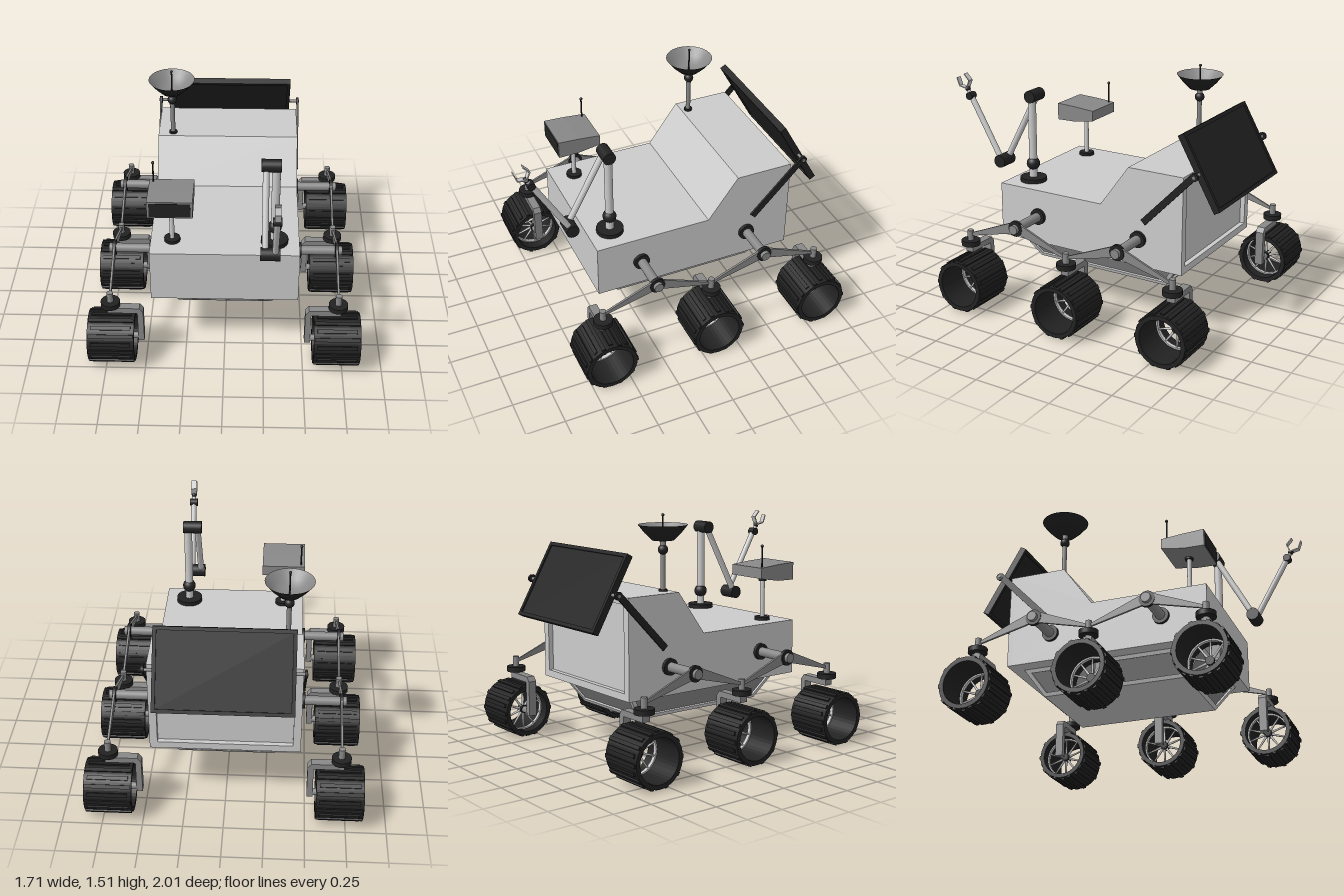
import * as THREE from 'three';

const mat = (color) => new THREE.MeshStandardMaterial({ color });
const LIGHT = mat(0xcccccc), GREY = mat(0x888888), DARK = mat(0x222222);
const V = (x, y, z) => new THREE.Vector3(x, y, z);

function add(parent, name, geometry, material, x = 0, y = 0, z = 0) {
  const mesh = new THREE.Mesh(geometry, material);
  mesh.name = name;
  mesh.position.set(x, y, z);
  parent.add(mesh);
  return mesh;
}

function group(parent, name) {
  const g = new THREE.Group();
  g.name = name;
  parent.add(g);
  return g;
}

// round bar between two points
function rod(parent, name, a, b, r, material, r2 = r) {
  const m = add(parent, name, new THREE.CylinderGeometry(r2, r, a.distanceTo(b), 24), material);
  m.position.copy(a).lerp(b, 0.5);
  m.quaternion.setFromUnitVectors(V(0, 1, 0), b.clone().sub(a).normalize());
  return m;
}

function ball(parent, name, p, r, material) {
  return add(parent, name, new THREE.SphereGeometry(r, 20, 14), material, p.x, p.y, p.z);
}

const polygon = (pts) => new THREE.Shape(pts.map(([x, y]) => new THREE.Vector2(x, y)));
const rect = (w, h) => polygon([[-w / 2, -h / 2], [w / 2, -h / 2], [w / 2, h / 2], [-w / 2, h / 2]]);
const extrude = (shape, depth) =>
  new THREE.ExtrudeGeometry(shape, { depth, bevelEnabled: false }).translate(0, 0, -depth / 2);
// side profile given as (z, y), extruded across x
const sideExtrude = (pts, width) => extrude(polygon(pts), width).rotateY(-Math.PI / 2);

function quads(list) {
  const g = new THREE.BufferGeometry().setFromPoints(
    list.flatMap(([a, b, c, d]) => [a, b, c, a, c, d]));
  g.computeVertexNormals();
  return g;
}

// four-cornered face (counter-clockwise from outside) with a sunken inner panel
function framedFace(parent, name, corners, margin, depth, panelMat) {
  const n = corners[1].clone().sub(corners[0]).cross(corners[3].clone().sub(corners[0])).normalize();
  const inner = corners.map((p, i) => {
    const u = corners[(i + 1) % 4].clone().sub(p).normalize();
    const v = corners[(i + 3) % 4].clone().sub(p).normalize();
    return p.clone().addScaledVector(u.add(v), margin);
  });
  const sunk = inner.map((p) => p.clone().addScaledVector(n, -depth));
  const faces = [];
  for (let i = 0; i < 4; i++) {
    const j = (i + 1) % 4;
    faces.push([corners[i], corners[j], inner[j], inner[i]], [inner[i], inner[j], sunk[j], sunk[i]]);
  }
  add(parent, name + 'Frame', quads(faces), LIGHT);
  add(parent, name + 'Panel', quads([sunk]), panelMat);
}

function buildBody(root) {
  const g = group(root, 'body');
  add(g, 'hull', sideExtrude([[0.56, 0.42], [0.56, 0.77], [-0.19, 0.77], [-0.385, 1.04],
    [-0.725, 1.04], [-0.725, 0.42]], 0.926), LIGHT);
  // raised frame around the rear wall
  const frame = rect(0.926, 0.62);
  frame.holes.push(rect(0.83, 0.53));
  add(g, 'rearFrame', extrude(frame, 0.032), LIGHT, 0, 0.73, -0.74);
  // tapered belly
  const t = [V(-0.37, 0.42, 0.49), V(0.37, 0.42, 0.49), V(0.37, 0.42, -0.68), V(-0.37, 0.42, -0.68)];
  const b = [V(-0.3, 0.25, 0.37), V(0.3, 0.25, 0.37), V(0.3, 0.25, -0.565), V(-0.3, 0.25, -0.565)];
  ['front', 'left', 'rear', 'right'].forEach((side, i) => {
    const j = (i + 1) % 4;
    framedFace(g, side + 'Belly', [b[i], b[j], t[j], t[i]], 0.03, 0.012, GREY);
  });
  add(g, 'bellyFloor', quads([[b[3], b[2], b[1], b[0]]]), LIGHT);
}

function buildWheel(parent, x, z, s) {
  const g = group(parent, 'wheel');
  g.position.set(x, 0.173, z);
  const ring = (r0, r1, w) => new THREE.LatheGeometry(
    [[r0, -w], [r1, -w], [r1, w], [r0, w], [r0, -w]].map(([r, y]) => new THREE.Vector2(r, y)), 40)
    .toNonIndexed().rotateZ(-Math.PI / 2);
  const tyre = ring(0.137, 0.164, 0.147);
  tyre.computeVertexNormals();
  add(g, 'tyre', tyre, DARK);
  const hubX = -s * 0.07;
  const rim = ring(0.128, 0.138, 0.012);
  rim.computeVertexNormals();
  add(g, 'rim', rim, LIGHT, hubX);
  for (let i = 0; i < 20; i++) {
    const a = (i / 20) * Math.PI * 2;
    const lug = add(g, 'tread', new THREE.BoxGeometry(i % 2 ? 0.285 : 0.25, 0.014, 0.024), DARK,
      0, Math.cos(a) * 0.166, Math.sin(a) * 0.166);
    lug.rotation.x = a;
  }
  for (let i = 0; i < 10; i++) {
    const a = (i / 10) * Math.PI * 2;
    rod(g, 'spoke', V(hubX, 0, 0), V(hubX, Math.cos(a) * 0.132, Math.sin(a) * 0.132), 0.009, LIGHT, 0.005);
  }
  rod(g, 'hub', V(hubX - 0.025, 0, 0), V(hubX + 0.025, 0, 0), 0.027, DARK);
}

function buildSuspension(root, s) {
  const g = group(root, s > 0 ? 'leftSuspension' : 'rightSuspension');
  const pivotY = 0.597;
  for (const z of [0.272, -0.46]) {
    const bar = (name, x0, x1, r, m) => rod(g, name, V(s * x0, pivotY, z), V(s * x1, pivotY, z), r, m);
    bar('axleTube', 0.45, 0.745, 0.03, GREY);
    bar('bodyCollar', 0.46, 0.484, 0.052, DARK);
    bar('pivotCollar', 0.7, 0.722, 0.05, DARK);
    // tapered rocker sweeping down to the two neighbouring wheels
    add(g, 'rocker', sideExtrude([[z + 0.365, 0.475], [z + 0.365, 0.492], [z + 0.02, 0.635],
      [z - 0.02, 0.635], [z - 0.365, 0.492], [z - 0.365, 0.475], [z - 0.02, 0.562],
      [z + 0.02, 0.562]], 0.014), GREY, s * 0.711);
  }
  for (const z of [0.63, -0.097, -0.83]) {
    rod(g, 'steeringPost', V(s * 0.711, 0.41, z), V(s * 0.711, 0.515, z), 0.02, GREY);
    rod(g, 'steeringDisc', V(s * 0.711, 0.417, z), V(s * 0.711, 0.45, z), 0.06, DARK);
    // angled fork reaching down the inner side of the wheel
    const fork = [[0.73, 0.372], [0.73, 0.417], [0.53, 0.41], [0.507, 0.38], [0.507, 0.152],
      [0.544, 0.152], [0.544, 0.372]].map(([x, y]) => [s * x, y]);
    fork[1][1] = 0.41;
    add(g, 'fork', extrude(polygon(fork), 0.053), GREY, 0, 0, z);
    rod(g, 'wheelAxle', V(s * 0.507, 0.173, z), V(s * 0.65, 0.173, z), 0.021, GREY);
    buildWheel(g, s * 0.709, z, s);
  }
}

function buildSolarPanel(root) {
  const g = group(root, 'solarPanel');
  const board = group(g, 'board');
  board.position.set(0, 1.062, -0.832);
  board.rotation.x = 0.515;
  add(board, 'cells', new THREE.BoxGeometry(0.8, 0.47, 0.025), DARK);
  const frame = rect(0.835, 0.505);
  frame.holes.push(rect(0.79, 0.46));
  add(board, 'frame', extrude(frame, 0.042), DARK);
  rod(g, 'hingeRod', V(-0.487, 1.06, -0.835), V(0.487, 1.06, -0.835), 0.01, GREY);
  for (const s of [-1, 1]) {
    const brace = add(g, 'brace', new THREE.BoxGeometry(0.012, 0.49, 0.042), DARK, s * 0.475, 0.893, -0.667);
    brace.rotation.x = -Math.atan2(0.33, 0.345);
    rod(g, 'hingeCap', V(s * 0.465, 1.06, -0.835), V(s * 0.483, 1.06, -0.835), 0.024, DARK);
  }
}

function buildDish(root) {
  const g = group(root, 'dishAntenna');
  g.position.set(-0.367, 0, -0.43);
  rod(g, 'mastFoot', V(0, 1.035, 0), V(0, 1.052, 0), 0.027, DARK);
  rod(g, 'mast', V(0, 1.04, 0), V(0, 1.28, 0), 0.015, GREY);
  ball(g, 'mastJoint', V(0, 1.29, 0), 0.031, DARK);
  rod(g, 'neck', V(0, 1.3, 0), V(0, 1.35, 0), 0.018, GREY);
  const lathe = (pts) => new THREE.LatheGeometry(pts.map(([r, y]) => new THREE.Vector2(r, y)), 32);
  add(g, 'dishShell', lathe([[0, 1.344], [0.065, 1.346], [0.11, 1.39], [0.15, 1.44]]), DARK);
  add(g, 'dishBowl', lathe([[0.15, 1.44], [0.108, 1.394], [0.065, 1.354], [0, 1.352]]), GREY);
  rod(g, 'feed', V(0, 1.35, 0), V(0, 1.495, 0), 0.005, DARK);
  ball(g, 'feedTip', V(0, 1.497, 0), 0.009, DARK);
}

function buildCamera(root) {
  const g = group(root, 'cameraHead');
  rod(g, 'mastFoot', V(-0.328, 0.768, 0.413), V(-0.328, 0.79, 0.413), 0.05, DARK);
  rod(g, 'mast', V(-0.328, 0.77, 0.413), V(-0.328, 1.06, 0.413), 0.015, LIGHT);
  rod(g, 'mastCollar', V(-0.328, 1.025, 0.413), V(-0.328, 1.055, 0.413), 0.026, DARK);
  add(g, 'housing', sideExtrude([[0.553, 1.035], [0.553, 1.148], [0.42, 1.142], [0.275, 1.13],
    [0.275, 1.062], [0.42, 1.038]], 0.276), GREY, -0.328);
  add(g, 'window', new THREE.BoxGeometry(0.25, 0.095, 0.006), DARK, -0.328, 1.09, 0.553);
  rod(g, 'whip', V(-0.441, 1.12, 0.303), V(-0.441, 1.265, 0.303), 0.005, DARK);
  ball(g, 'whipTip', V(-0.441, 1.267, 0.303), 0.01, DARK);
}

function buildArm(root) {
  const g = group(root, 'roboticArm');
  const xa = 0.308, xb = 0.246;
  rod(g, 'turntable', V(xa, 0.768, 0.415), V(xa, 0.797, 0.415), 0.085, DARK);
  rod(g, 'column', V(xa, 0.79, 0.415), V(xa, 1.33, 0.415), 0.026, LIGHT);
  ball(g, 'shoulder', V(xa, 0.885, 0.415), 0.043, DARK);
  rod(g, 'elbow', V(0.218, 1.33, 0.415), V(0.338, 1.33, 0.415), 0.04, DARK);
  rod(g, 'upperLink', V(xb, 1.33, 0.415), V(xb, 0.86, 0.665), 0.02, LIGHT);
  rod(g, 'wrist', V(0.218, 0.86, 0.665), V(0.338, 0.86, 0.665), 0.042, DARK);
  rod(g, 'foreLink', V(xa, 0.86, 0.665), V(xa, 1.27, 0.9), 0.019, LIGHT);
  rod(g, 'handJoint', V(xa - 0.026, 1.268, 0.9), V(xa + 0.026, 1.268, 0.9), 0.025, DARK);
  rod(g, 'handNeck', V(xa, 1.268, 0.9), V(xa, 1.31, 0.925), 0.013, LIGHT);
  ball(g, 'handBall', V(xa, 1.312, 0.925), 0.018, DARK);
  // two bent flat claws
  const claws = [[[0.925, 1.315], [0.98, 1.327], [1.0, 1.38]], [[0.925, 1.315], [0.902, 1.37], [0.94, 1.412]]];
  for (const path of claws) {
    for (let i = 0; i < 2; i++) {
      const [[z0, y0], [z1, y1]] = [path[i], path[i + 1]];
      const plate = add(g, 'claw', new THREE.BoxGeometry(0.036, 0.007, Math.hypot(z1 - z0, y1 - y0)),
        LIGHT, xa, (y0 + y1) / 2, (z0 + z1) / 2);
      plate.rotation.x = -Math.atan2(y1 - y0, z1 - z0);
    }
  }
}

export function createModel() {
  const root = new THREE.Group();
  root.name = 'rover';
  buildBody(root);
  for (const s of [-1, 1]) buildSuspension(root, s);
  buildSolarPanel(root);
  buildDish(root);
  buildCamera(root);
  buildArm(root);
  return root;
}
